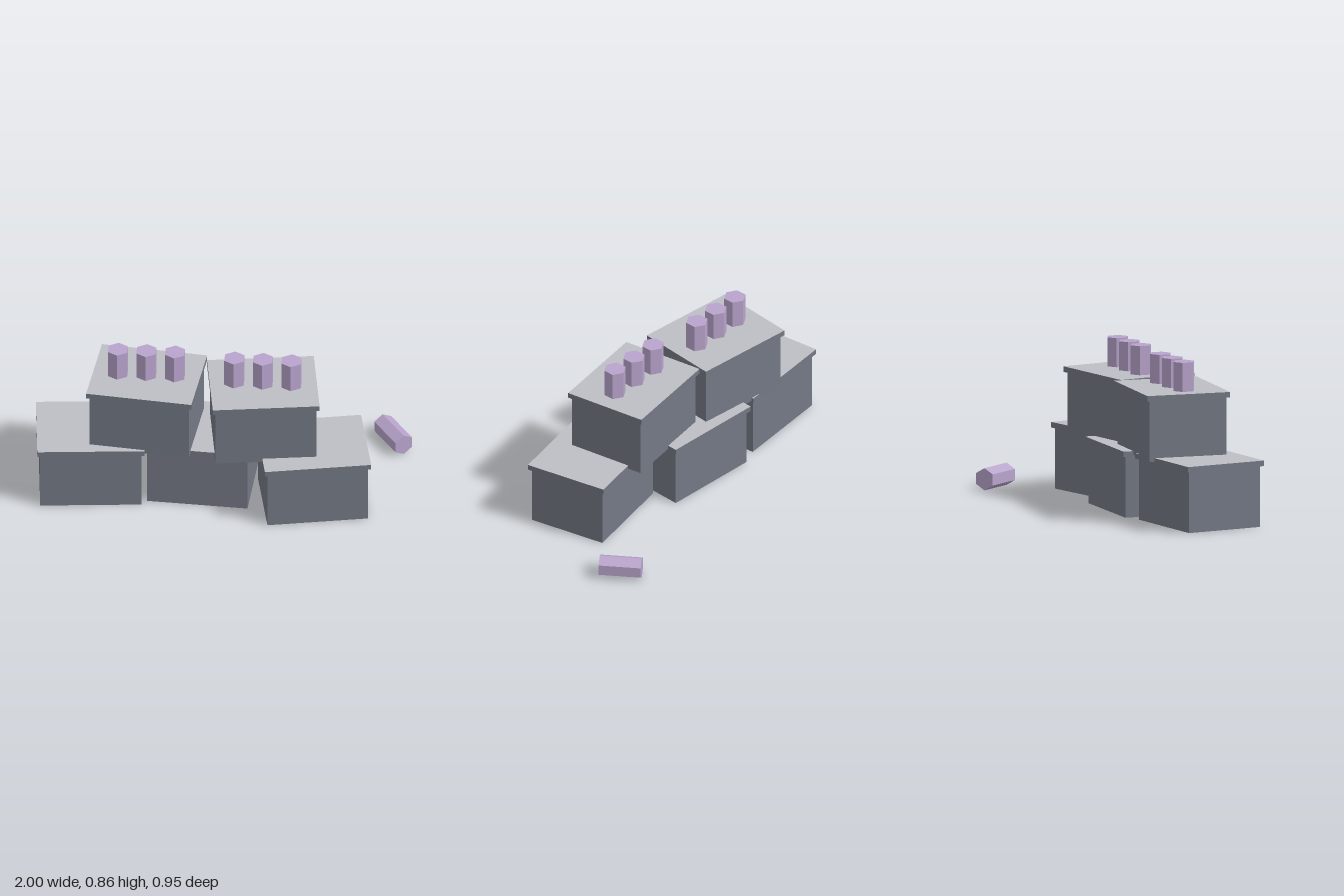
import * as THREE from 'three';

export function createModel() {
  const group = new THREE.Group();
  const stone = new THREE.MeshStandardMaterial({ color: 0x747985 });
  stone.name = 'slate grey';
  const pale = new THREE.MeshStandardMaterial({ color: 0xbebfc4 });
  pale.name = 'pale grey';
  const lilac = new THREE.MeshStandardMaterial({ color: 0xb9a4cc });
  lilac.name = 'lilac';
  lilac.flatShading = true;

  // Crate: body with a slightly wider lid whose upper face is pale
  const bodyGeo = new THREE.BoxGeometry(0.541, 0.33, 0.435).translate(0, 0.165, 0);
  const lidGeo = new THREE.BoxGeometry(0.572, 0.03, 0.466).translate(0, 0.345, 0);
  const lidMaterials = [stone, stone, pale, stone, stone, stone];

  function addCrate(name, x, y, z, turn) {
    const crate = new THREE.Group();
    crate.name = name;
    const body = new THREE.Mesh(bodyGeo, stone);
    body.name = 'crateBody';
    const lid = new THREE.Mesh(lidGeo, lidMaterials);
    lid.name = 'crateLid';
    crate.add(body, lid);
    crate.position.set(x, y, z);
    crate.rotation.y = turn;
    group.add(crate);
  }

  // Lower row of three, upper row of two
  addCrate('lowerRightCrate', -0.692, 0, 0.133, 0.1);
  addCrate('lowerMiddleCrate', -0.092, 0, 0.082, -0.05);
  addCrate('lowerLeftCrate', 0.508, 0, 0.19, 0.2);
  addCrate('upperRightCrate', -0.391, 0.34, 0.107, -0.1);
  addCrate('upperLeftCrate', 0.237, 0.34, 0.135, 0.15);

  // Standing six-sided canisters, three on each upper crate
  const canisterGeo = new THREE.CylinderGeometry(0.06, 0.06, 0.157, 6);
  for (const [x, z] of [[-0.392, 0.107], [0.235, 0.136]]) {
    for (let i = -1; i <= 1; i++) {
      const canister = new THREE.Mesh(canisterGeo, lilac);
      canister.name = 'canister';
      canister.position.set(x + i * 0.153, 0.7785, z);
      group.add(canister);
    }
  }

  // Canister lying on the ground
  const fallen = new THREE.Mesh(
    new THREE.CylinderGeometry(0.06, 0.06, 0.227, 6).rotateX(Math.PI / 2), lilac);
  fallen.name = 'fallenCanister';
  fallen.position.set(0.893, 0.06, -0.353);
  fallen.rotation.y = 0.6;
  group.add(fallen);

  return group;
}
